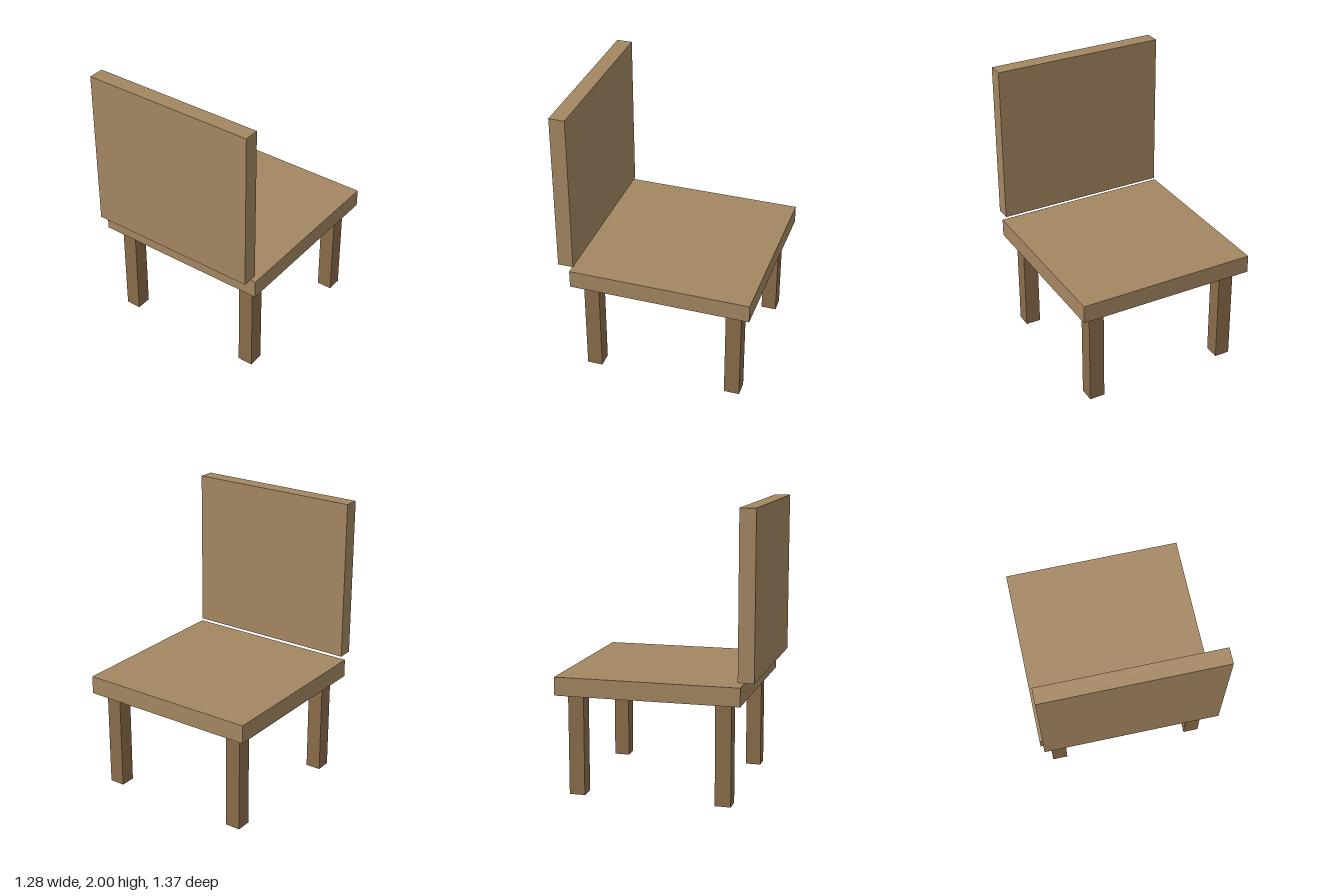
import * as THREE from 'three';

const lightWood = new THREE.MeshStandardMaterial({ color: 0xa38661 });
const darkWood = new THREE.MeshStandardMaterial({ color: 0x8a6c4a });

// Box given by its size and centre
function block(name, [w, h, d], [x, y, z], material) {
  const mesh = new THREE.Mesh(new THREE.BoxGeometry(w, h, d), material);
  mesh.name = name;
  mesh.position.set(x, y, z);
  return mesh;
}

export function createModel() {
  const chair = new THREE.Group();
  chair.name = 'chair';

  // Seat slab
  chair.add(block('seat', [1.284, 0.128, 1.282], [0, 0.774, -0.044], lightWood));

  // Backrest panel, floating just above the seat edge
  chair.add(block('backrest', [1.244, 1.134, 0.11], [0, 1.433, 0.63], lightWood));

  // Four square legs
  const legHeight = 0.71;
  for (const [side, x] of [['left', 0.513], ['right', -0.513]]) {
    for (const [end, z] of [['Front', 0.469], ['Rear', -0.558]]) {
      chair.add(block(`${side}${end}Leg`, [0.11, legHeight, 0.11], [x, legHeight / 2, z], darkWood));
    }
  }
  return chair;
}
